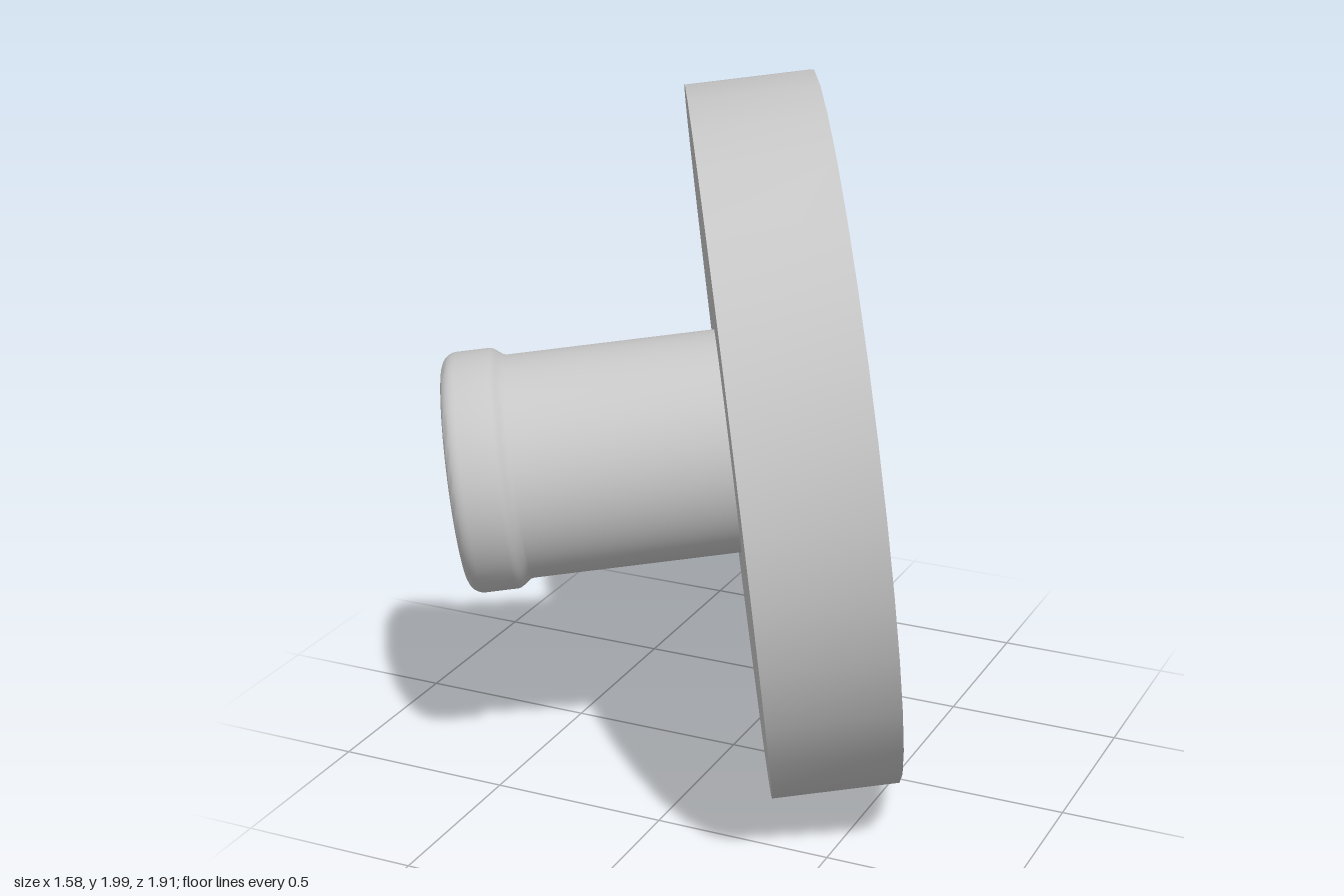
import * as THREE from 'three';
import { toCreasedNormals } from 'three/addons/utils/BufferGeometryUtils.js';

export function createModel() {
  const model = new THREE.Group();
  model.name = 'discWithKnob';
  const grey = new THREE.MeshStandardMaterial({ color: 0xc6c6c6 });
  grey.name = 'grey';

  // Everything turns around one tilted axis that starts at the disc's front face.
  const axis = new THREE.Vector3(-0.883, -0.11, 0.456).normalize();
  const assembly = new THREE.Group();
  assembly.name = 'assembly';
  assembly.position.set(0.018, 0.98, 0.08);
  assembly.quaternion.setFromUnitVectors(new THREE.Vector3(0, 1, 0), axis);
  model.add(assembly);

  const turned = (name, profile, sides) => {
    const points = profile.map(([r, y]) => new THREE.Vector2(r, y));
    const geometry = toCreasedNormals(new THREE.LatheGeometry(points, sides), 0.6);
    const mesh = new THREE.Mesh(geometry, grey);
    mesh.name = name;
    assembly.add(mesh);
  };

  // Wide flat disc
  turned('disc', [[0, -0.348], [0.986, -0.348], [0.986, 0], [0, 0]], 32);

  // Plain shaft with a soft step up to the collar
  const knob = [[0.31, 0], [0.31, 0.575]];
  for (let i = 1; i <= 6; i++) {
    const t = i / 6;
    knob.push([0.31 + 0.024 * t * t * (3 - 2 * t), 0.575 + 0.045 * t]);
  }
  // Rounded collar rim and flat end
  for (let i = 0; i <= 6; i++) {
    const a = (i / 6) * Math.PI / 2;
    knob.push([0.294 + 0.04 * Math.cos(a), 0.712 + 0.04 * Math.sin(a)]);
  }
  knob.push([0, 0.752]);
  turned('knob', knob, 64);

  return model;
}
